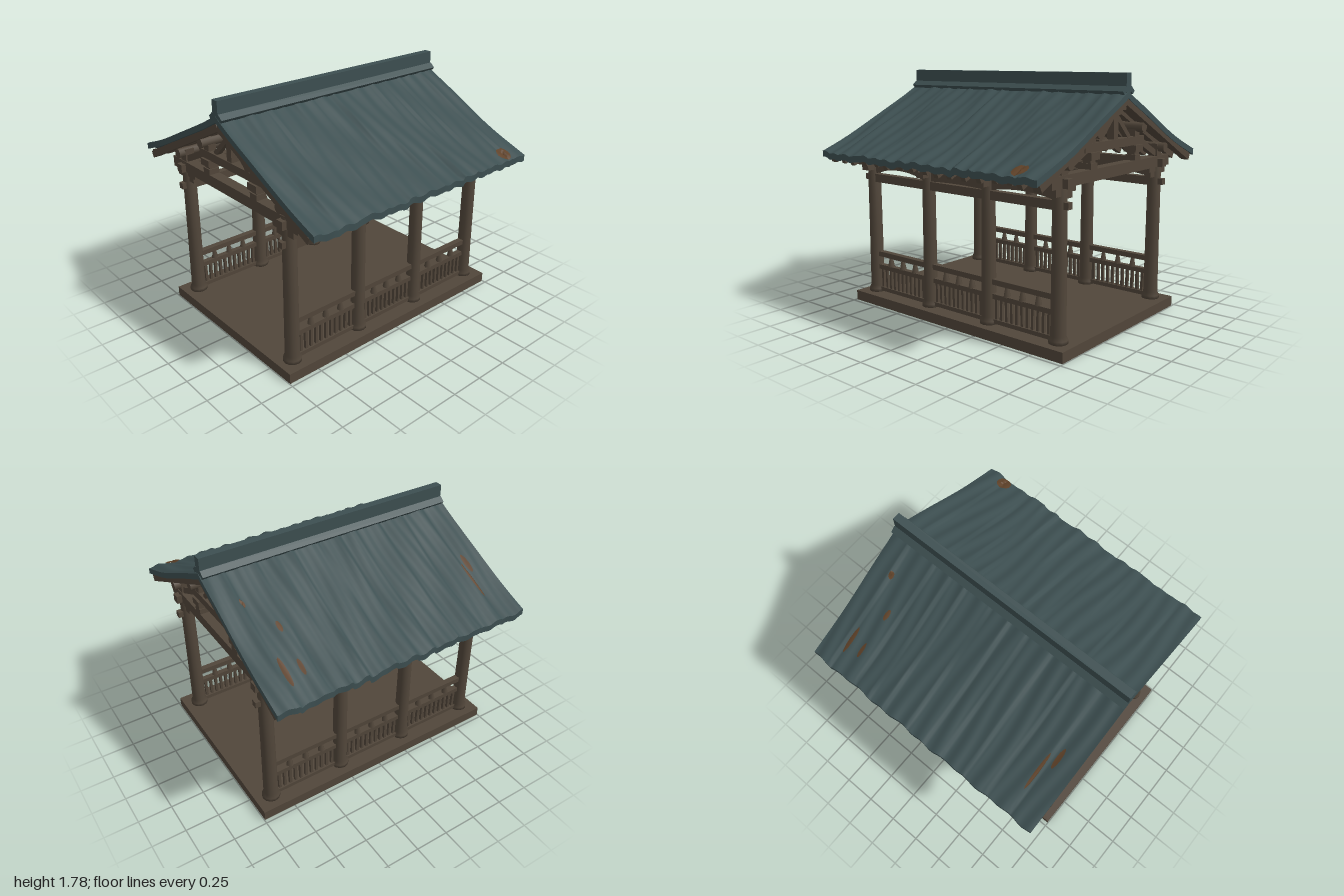
import * as THREE from 'three';

const wood = new THREE.MeshStandardMaterial({ color: 0x51463a });
wood.name = 'weathered wood';
const slate = new THREE.MeshStandardMaterial({ color: 0x3d4f51 });
slate.name = 'dark teal roofing';
const rust = new THREE.MeshStandardMaterial({ color: 0x5e4128, side: THREE.DoubleSide });
rust.name = 'rust';

let seed = 7;
const rand = () => (seed = (seed * 16807) % 2147483647) / 2147483647 - 0.5;

function add(group, name, geo, mat, x = 0, y = 0, z = 0) {
  const m = new THREE.Mesh(geo, mat);
  m.name = name;
  m.position.set(x, y, z);
  group.add(m);
  return m;
}
const box = (g, name, w, h, d, x, y, z, mat = wood) =>
  add(g, name, new THREE.BoxGeometry(w, h, d), mat, x, y, z);

// Beam between two points of the cross-section plane
function strut(g, name, x1, y1, x2, y2, t, d, z) {
  const m = box(g, name, Math.hypot(x2 - x1, y2 - y1), t, d, (x1 + x2) / 2, (y1 + y2) / 2, z);
  m.rotation.z = Math.atan2(y2 - y1, x2 - x1);
  return m;
}

// Roof slope, slightly hollow, with ribs and overlapping strips running down it
const slope = (x) => 1.675 - 0.56 * Math.abs(x) + 0.085 * x * x;
const seams = [-1.01, -0.83, -0.6, -0.45, -0.33, -0.1, 0.06, 0.2, 0.41, 0.6, 0.8, 1.01];
function ripple(x, z) {
  const i = Math.max(0, seams.findIndex((s) => s > z) - 1);
  const f = (z - seams[i]) / (seams[i + 1] - seams[i]);
  const side = x < 0 ? 1 : 0.55;
  const u = Math.abs(x);
  return side * 0.018 * (f - 0.5) + 0.006 * Math.sin(z * 52 + 1.5 * Math.sin(u * 4 + i))
    + 0.004 * Math.sin(u * 9 + z * 7 + i);
}

// Half roof slab: a box whose vertices follow the slope
function roofSlab(side, reach, halfLength, drop, thick, wavy) {
  const g = new THREE.BoxGeometry(reach, thick, halfLength * 2, 20, 1, wavy ? 120 : 4);
  const p = g.attributes.position;
  for (let i = 0; i < p.count; i++) {
    const z = p.getZ(i);
    let x = p.getX(i) + (side * reach) / 2;
    const y = slope(x) - drop - thick / 2 + p.getY(i) + (wavy ? ripple(x, z) : 0);
    if (wavy) x *= 0.99 + 0.009 * Math.sin(z * 23 + side) * Math.sin(z * 9);
    p.setXYZ(i, x, y, z);
  }
  g.computeVertexNormals();
  return g;
}

// Thin rust stain laid on the roof
function stain(x, z, w, d) {
  const g = new THREE.RingGeometry(0.001, 1, 12, 4).rotateX(-Math.PI / 2);
  const p = g.attributes.position;
  for (let i = 0; i < p.count; i++) {
    const px = x + (p.getX(i) * w) / 2;
    const pz = z + (p.getZ(i) * d) / 2;
    p.setXYZ(i, px, slope(px) + ripple(px, pz) + 0.005, pz);
  }
  g.computeVertexNormals();
  return g;
}

// Board with an arched lower edge, spanning one bay along z
function archBoard(length, rise) {
  const s = new THREE.Shape();
  s.moveTo(-length / 2, 0.13);
  s.lineTo(-length / 2, 0);
  s.quadraticCurveTo(0, rise * 2, length / 2, 0);
  s.lineTo(length / 2, 0.13);
  s.closePath();
  return new THREE.ExtrudeGeometry(s, { depth: 0.04, bevelEnabled: false, curveSegments: 10 })
    .translate(0, 0, -0.02).rotateY(Math.PI / 2);
}

function buildRoof() {
  const g = new THREE.Group();
  g.name = 'roof';
  for (const s of [-1, 1]) {
    add(g, 'roofCovering', roofSlab(s, 1, 0.995, 0, 0.045, true), slate);
    add(g, 'roofBoarding', roofSlab(s, 0.95, 0.975, 0.05, 0.012, false), wood);
    // Rafters under the boarding
    for (let i = 0; i < 17; i++) {
      const z = -0.955 + (i * 1.91) / 16 + (i % 16 ? rand() * 0.03 : 0);
      const tip = 0.93 + rand() * 0.03;
      strut(g, 'rafter', 0, 1.6, s * tip, 1.605 - tip * 0.5, 0.052, i % 16 ? 0.04 : 0.06, z);
    }
  }
  box(g, 'ridgeCap', 0.06, 0.13, 1.985, 0, 1.72, 0, slate);
  for (const s of [-1, 1]) {
    const foot = box(g, 'ridgeFoot', 0.05, 0.03, 1.985, s * 0.045, 1.67, 0, slate);
    foot.rotation.z = -s * 0.7;
  }
  const stains = [
    [-0.77, -0.81, 0.2, 0.035], [-0.78, -0.7, 0.11, 0.03], [-0.5, -0.69, 0.08, 0.035],
    [-0.28, -0.83, 0.05, 0.035], [-0.67, 0.79, 0.28, 0.025], [-0.53, 0.85, 0.15, 0.035],
    [0.93, -0.82, 0.11, 0.11],
  ];
  for (const a of stains) add(g, 'rustStain', stain(...a), rust);
  return g;
}

// Roof truss standing on one pair of columns
function buildTruss(z) {
  const g = new THREE.Group();
  g.name = 'truss';
  box(g, 'tieBeam', 1.48, 0.08, 0.08, 0, 1.13, z);
  box(g, 'collarBeam', 0.74, 0.06, 0.065, 0, 1.31, z);
  box(g, 'kingPost', 0.055, 0.26, 0.055, 0, 1.46, z);
  box(g, 'kingPostHead', 0.085, 0.05, 0.09, 0, 1.53, z);
  for (const s of [-1, 1]) {
    strut(g, 'kingBrace', s * 0.02, 1.5, s * 0.19, 1.34, 0.035, 0.04, z);
    box(g, 'queenPost', 0.06, 0.24, 0.06, s * 0.28, 1.28, z);
    box(g, 'queenPostBlock', 0.1, 0.05, 0.1, s * 0.28, 1.255, z);
    box(g, 'queenPostFoot', 0.075, 0.04, 0.08, s * 0.28, 1.19, z);
    strut(g, 'sideBrace', s * 0.57, 1.19, s * 0.3, 1.32, 0.045, 0.045, z);
    box(g, 'beamCorbel', 0.12, 0.035, 0.06, s * 0.53, 1.073, z);
    box(g, 'beamCorbelLower', 0.06, 0.04, 0.05, s * 0.53, 1.035, z);
    box(g, 'outerCorbel', 0.06, 0.05, 0.07, s * 0.66, 1.065, z);
  }
  return g;
}

// One railing panel between two columns
function buildRailing(x, z1, z2) {
  const g = new THREE.Group();
  g.name = 'railing';
  const len = z2 - z1;
  const mid = (z1 + z2) / 2;
  box(g, 'topRail', 0.045, 0.038, len, x, 0.38, mid);
  box(g, 'middleRail', 0.04, 0.035, len, x, 0.277, mid);
  box(g, 'bottomRail', 0.04, 0.03, len, x, 0.1, mid);
  const inner = len - 0.1;
  for (let i = 0; i < 11; i++) {
    const b = box(g, 'baluster', 0.022, 0.16, 0.02, x, 0.185, mid + inner * ((i + 0.5) / 11 - 0.5));
    b.rotation.x = rand() * 0.06;
  }
  const cup = new THREE.CylinderGeometry(0.012, 0.027, 0.075, 6);
  for (const f of [-0.27, 0, 0.27]) add(g, 'railSupport', cup, wood, x, 0.328, mid + inner * f);
  return g;
}

export function createModel() {
  const root = new THREE.Group();
  root.name = 'pavilion';

  box(root, 'floor', 1.44, 0.075, 1.99, 0, 0.0375, 0);

  // Column with a flared foot and a slim top post
  const profile = [[0, 0.07], [0.066, 0.07], [0.066, 0.1], [0.053, 0.125], [0.05, 0.6], [0.048, 1.16], [0, 1.16]]
    .map(([r, y]) => new THREE.Vector2(r, y));
  const columnGeo = new THREE.LatheGeometry(profile, 12);
  const rows = [-0.875, -0.285, 0.285, 0.88];
  const rises = [0.028, 0.008, 0.045];

  for (const z of rows) {
    root.add(buildTruss(z));
    for (const s of [-1, 1]) {
      add(root, 'column', columnGeo, wood, s * 0.6, 0, z);
      box(root, 'columnTop', 0.07, 0.12, 0.07, s * 0.6, 1.2, z);
    }
  }

  for (const s of [-1, 1]) {
    const x = s * 0.6;
    box(root, 'lowerSideBeam', 0.055, 0.062, 1.8, x, 0.978, 0);
    box(root, 'beamEnds', 0.045, 0.045, 1.91, x, 0.98, 0);
    box(root, 'upperSideBeam', 0.06, 0.06, 1.91, x, 1.12, 0);
    for (let i = 0; i < 3; i++) {
      const a = rows[i];
      const b = rows[i + 1];
      add(root, 'archedBoard', archBoard(b - a - 0.06, rises[i]), wood, x, 1.01, (a + b) / 2);
      root.add(buildRailing(x, a, b));
    }
    // Round purlins carrying the rafters
    for (const [px, py] of [[0.6, 1.235], [0.28, 1.405]]) {
      const p = add(root, 'purlin', new THREE.CylinderGeometry(0.035, 0.035, 1.92, 10), wood, s * px, py, 0);
      p.rotation.x = Math.PI / 2;
    }
  }
  box(root, 'ridgeBeam', 0.065, 0.07, 1.92, 0, 1.575, 0);

  root.add(buildRoof());
  return root;
}
